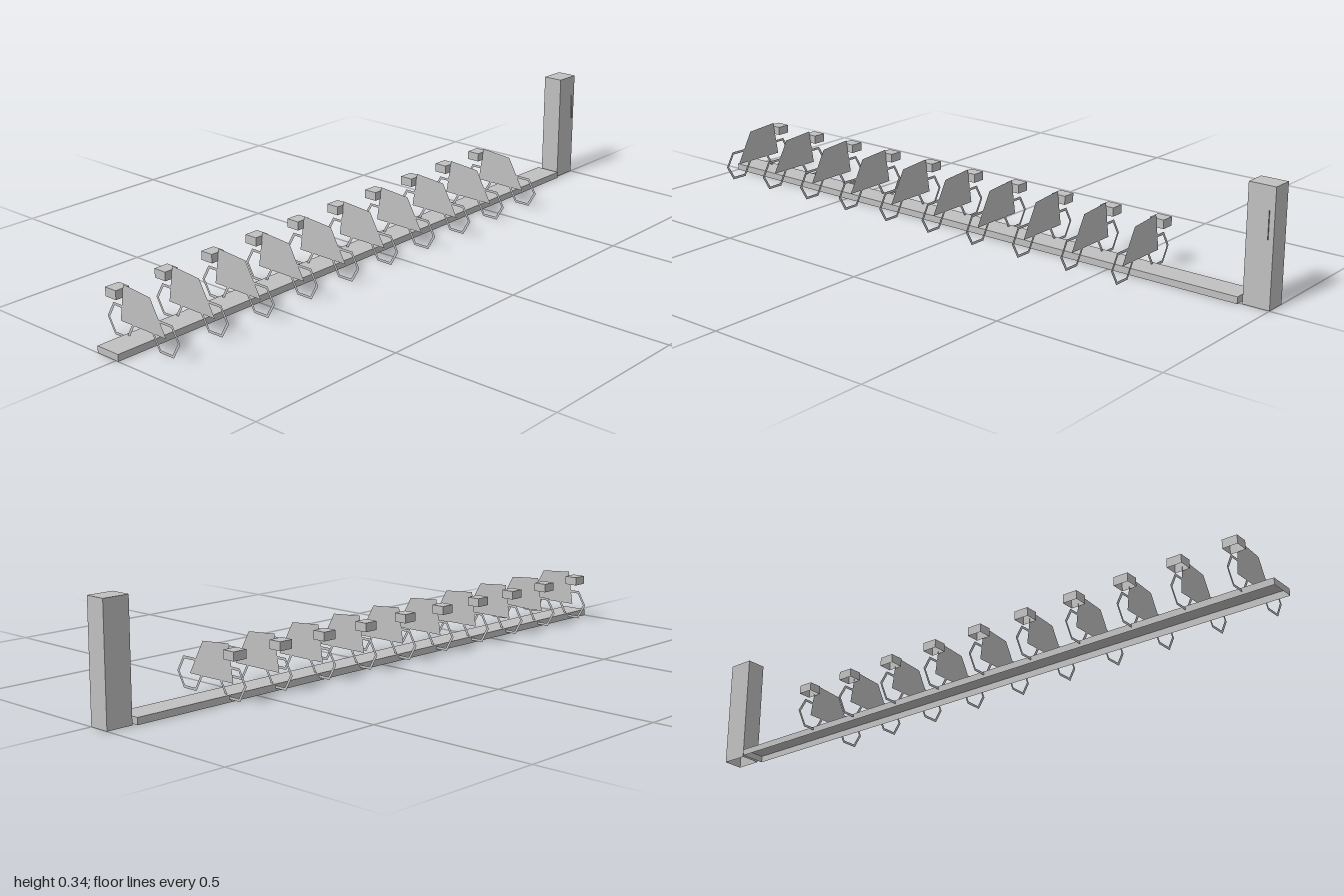
import * as THREE from 'three';

const grey = new THREE.MeshStandardMaterial({ color: 0xc0c0c0, side: THREE.DoubleSide });
grey.name = 'light grey';

// Folded sheet box, open underneath, given by its limits
function openBox(name, x0, x1, y0, y1, z0, z1) {
  const geo = new THREE.BoxGeometry(x1 - x0, y1 - y0, z1 - z0);
  const index = Array.from(geo.index.array);
  index.splice(18, 6); // drop the bottom face
  geo.setIndex(index);
  geo.clearGroups();
  geo.translate((x0 + x1) / 2, (y0 + y1) / 2, (z0 + z1) / 2);
  const mesh = new THREE.Mesh(geo, grey);
  mesh.name = name;
  return mesh;
}

// Flat sheet standing in the z-y plane, from [z, y] corners
function sheet(name, corners) {
  const shape = new THREE.Shape(corners.map(([z, y]) => new THREE.Vector2(-z, y)));
  const mesh = new THREE.Mesh(new THREE.ShapeGeometry(shape).rotateY(Math.PI / 2), grey);
  mesh.name = name;
  return mesh;
}

// Six-sided wheel rim
function wheel(name, z) {
  const mesh = new THREE.Mesh(new THREE.RingGeometry(0.0435, 0.0525, 6, 1).rotateY(Math.PI / 2), grey);
  mesh.name = name;
  mesh.position.set(0, 0.054, z);
  return mesh;
}

// One parked bicycle with its dock head
function createBicycle() {
  const bike = new THREE.Group();
  bike.name = 'bicycle';
  bike.add(
    sheet('frame', [[0.088, 0.054], [0.033, 0.152], [-0.07, 0.16], [-0.087, 0.054]]),
    wheel('frontWheel', 0.088),
    wheel('rearWheel', -0.0865),
    openBox('dockHead', -0.0225, 0.0225, 0.122, 0.148, -0.115, -0.074)
  );
  return bike;
}

export function createModel() {
  const model = new THREE.Group();
  model.name = 'bicycleStation';

  // Base rail and terminal pillar
  model.add(openBox('baseRail', -1, 0.91, 0, 0.02, -0.071, 0.009));
  model.add(openBox('terminalPillar', 0.92, 1, 0, 0.336, -0.063, 0));

  // Thin fin standing proud of the pillar front
  const fin = sheet('terminalFin', [[0.004, 0.192], [0.004, 0.271], [-0.01, 0.271], [-0.01, 0.192]]);
  fin.position.x = 0.985;
  model.add(fin);

  // Row of bicycles
  for (let i = 0; i < 10; i++) {
    const bike = createBicycle();
    bike.position.x = -0.907 + i * 0.1675;
    model.add(bike);
  }
  return model;
}
